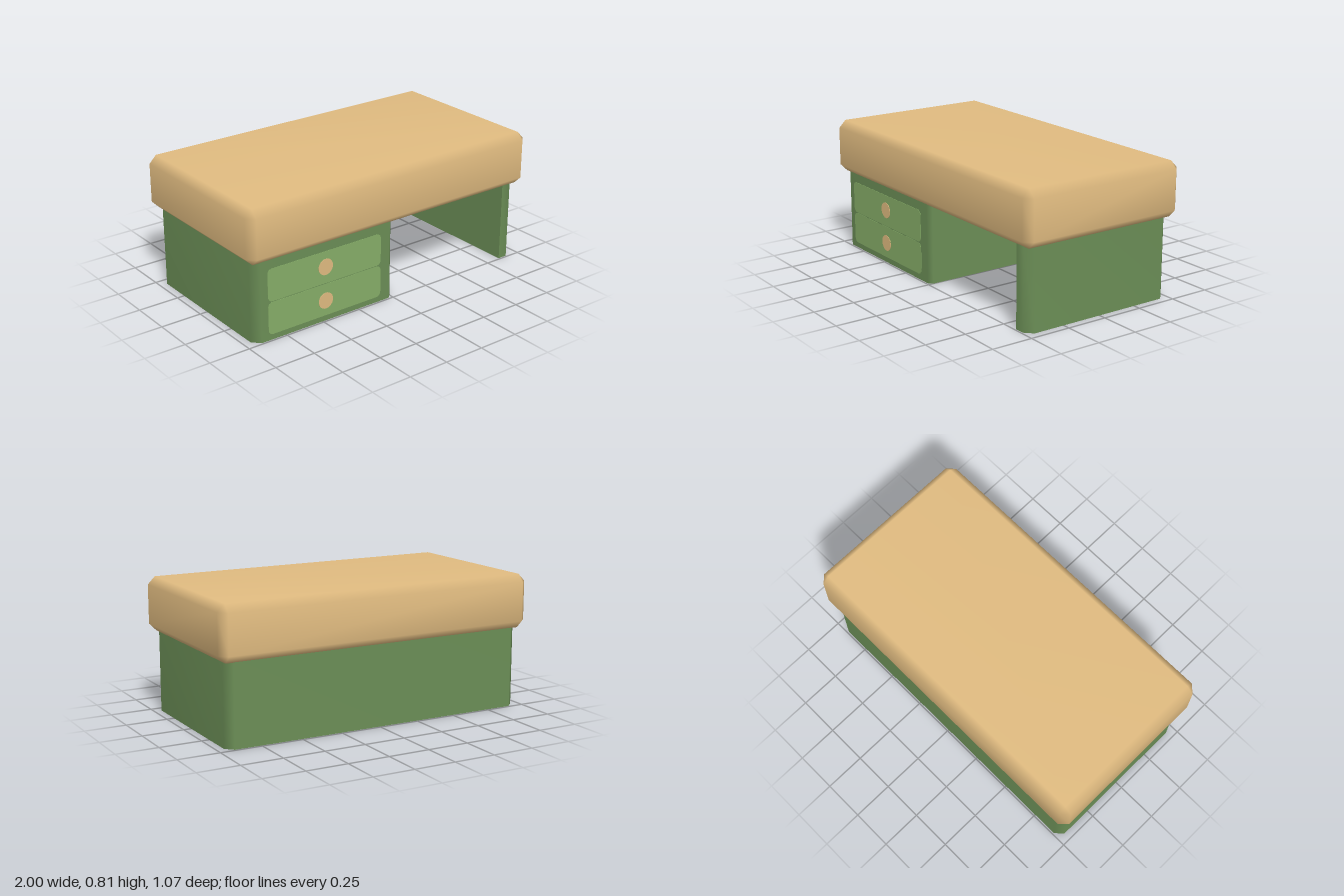
import * as THREE from 'three';
import { mergeVertices } from 'three/addons/utils/BufferGeometryUtils.js';
import { ConvexGeometry } from 'three/addons/geometries/ConvexGeometry.js';

const wood = new THREE.MeshStandardMaterial({ name: 'wood', color: 0xe0bb80 });
const green = new THREE.MeshStandardMaterial({ name: 'green', color: 0x6b8e56, side: THREE.DoubleSide });
const lightGreen = new THREE.MeshStandardMaterial({ name: 'lightGreen', color: 0x86ae68 });

// Box with every edge cut at 45 degrees and normals blended across the cuts
function bevelledBox(hx, hy, hz, b) {
  const points = [];
  for (const sx of [-1, 1]) for (const sy of [-1, 1]) for (const sz of [-1, 1]) {
    points.push(
      new THREE.Vector3(sx * hx, sy * (hy - b), sz * (hz - b)),
      new THREE.Vector3(sx * (hx - b), sy * hy, sz * (hz - b)),
      new THREE.Vector3(sx * (hx - b), sy * (hy - b), sz * hz));
  }
  const hull = new ConvexGeometry(points);
  hull.deleteAttribute('normal');
  const geometry = mergeVertices(hull);
  geometry.computeVertexNormals();
  return geometry;
}

// Thin upright wall following a plan path of [x, z] points
function wall(path, height) {
  const positions = [], index = [];
  path.forEach(([x, z], i) => {
    positions.push(x, 0, z, x, height, z);
    if (i) {
      const a = 2 * i - 2, b = 2 * i;
      index.push(a, b + 1, b, a, a + 1, b + 1);
    }
  });
  const geometry = new THREE.BufferGeometry();
  geometry.setAttribute('position', new THREE.Float32BufferAttribute(positions, 3));
  geometry.setIndex(index);
  geometry.computeVertexNormals();
  return geometry;
}

// Thin plate with rounded corners, centred on the origin
function roundedPlate(w, h, r, depth) {
  const s = new THREE.Shape();
  const x = w / 2, y = h / 2;
  s.absarc(x - r, y - r, r, 0, Math.PI / 2);
  s.absarc(-x + r, y - r, r, Math.PI / 2, Math.PI);
  s.absarc(-x + r, -y + r, r, Math.PI, Math.PI * 1.5);
  s.absarc(x - r, -y + r, r, Math.PI * 1.5, Math.PI * 2);
  return new THREE.ExtrudeGeometry(s, { depth, bevelEnabled: false, curveSegments: 4 })
    .translate(0, 0, -depth / 2);
}

export function createModel() {
  const desk = new THREE.Group();
  desk.name = 'desk';
  const add = (name, geometry, material, x = 0, y = 0, z = 0) => {
    const mesh = new THREE.Mesh(geometry, material);
    mesh.name = name;
    mesh.position.set(x, y, z);
    desk.add(mesh);
    return mesh;
  };

  // Thick bevelled top
  add('desktop', bevelledBox(1, 0.162, 0.533, 0.045), wood, 0, 0.643, 0);

  // Cabinet, back panel and outer side of the leg in one open-bottomed shell
  const H = 0.485;
  add('bodyShell', wall([
    [0, -0.49], [0, 0.465], [-0.025, 0.49], [-0.91, 0.49], [-0.955, 0.445],
    [-0.955, -0.445], [-0.91, -0.49], [0.91, -0.49], [0.955, -0.445],
    [0.955, 0.445], [0.91, 0.49], [0.85, 0.49],
  ], H), green);
  add('legInnerWall', wall([[0.85, 0.49], [0.85, -0.49]], H), green);

  // Two drawers with round knobs, showing on both sides of the thin front
  const drawer = roundedPlate(0.776, 0.195, 0.03, 0.004);
  const knob = new THREE.CylinderGeometry(0.049, 0.049, 0.009, 24).rotateX(Math.PI / 2);
  [['lower', 0.131, 0.126], ['upper', 0.331, 0.334]].forEach(([level, y, knobY]) => {
    add(level + 'Drawer', drawer, lightGreen, -0.478, y, 0.49);
    add(level + 'Knob', knob, wood, -0.48, knobY, 0.49);
  });

  return desk;
}
